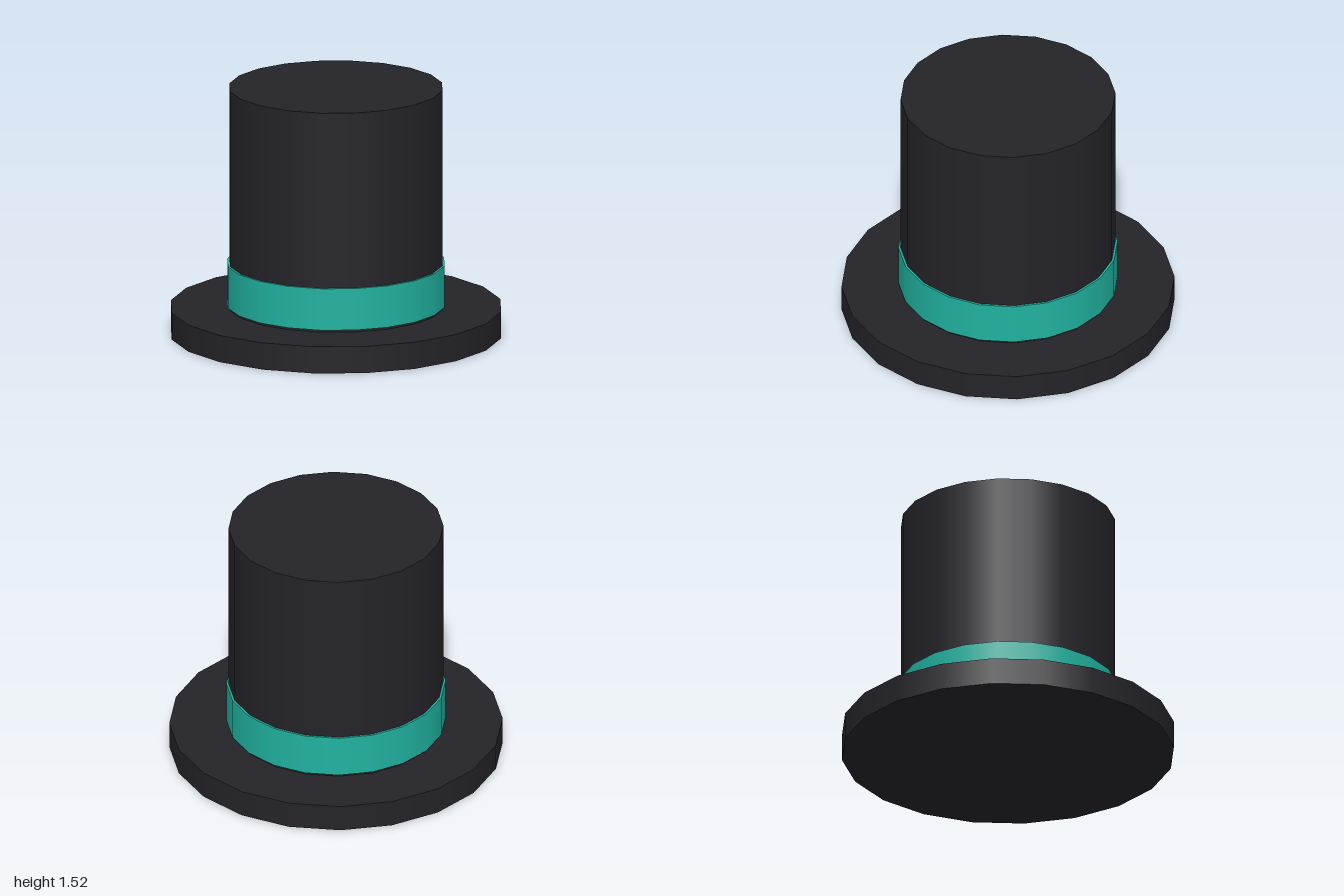
import * as THREE from 'three';

const SIDES = 20;

export function createModel() {
  const hat = new THREE.Group();
  hat.name = 'topHat';

  const felt = new THREE.MeshStandardMaterial({ color: 0x242328 });
  const ribbon = new THREE.MeshStandardMaterial({ color: 0x20b2a0 });

  // Upright capped cylinder between two heights
  const addDisc = (name, radius, bottom, top, material) => {
    const geometry = new THREE.CylinderGeometry(radius, radius, top - bottom, SIDES);
    const mesh = new THREE.Mesh(geometry, material);
    mesh.name = name;
    mesh.position.y = (bottom + top) / 2;
    hat.add(mesh);
  };

  addDisc('brim', 1, 0, 0.165, felt);
  addDisc('crown', 0.645, 0.16, 1.52, felt);
  addDisc('band', 0.658, 0.18, 0.437, ribbon);

  return hat;
}
